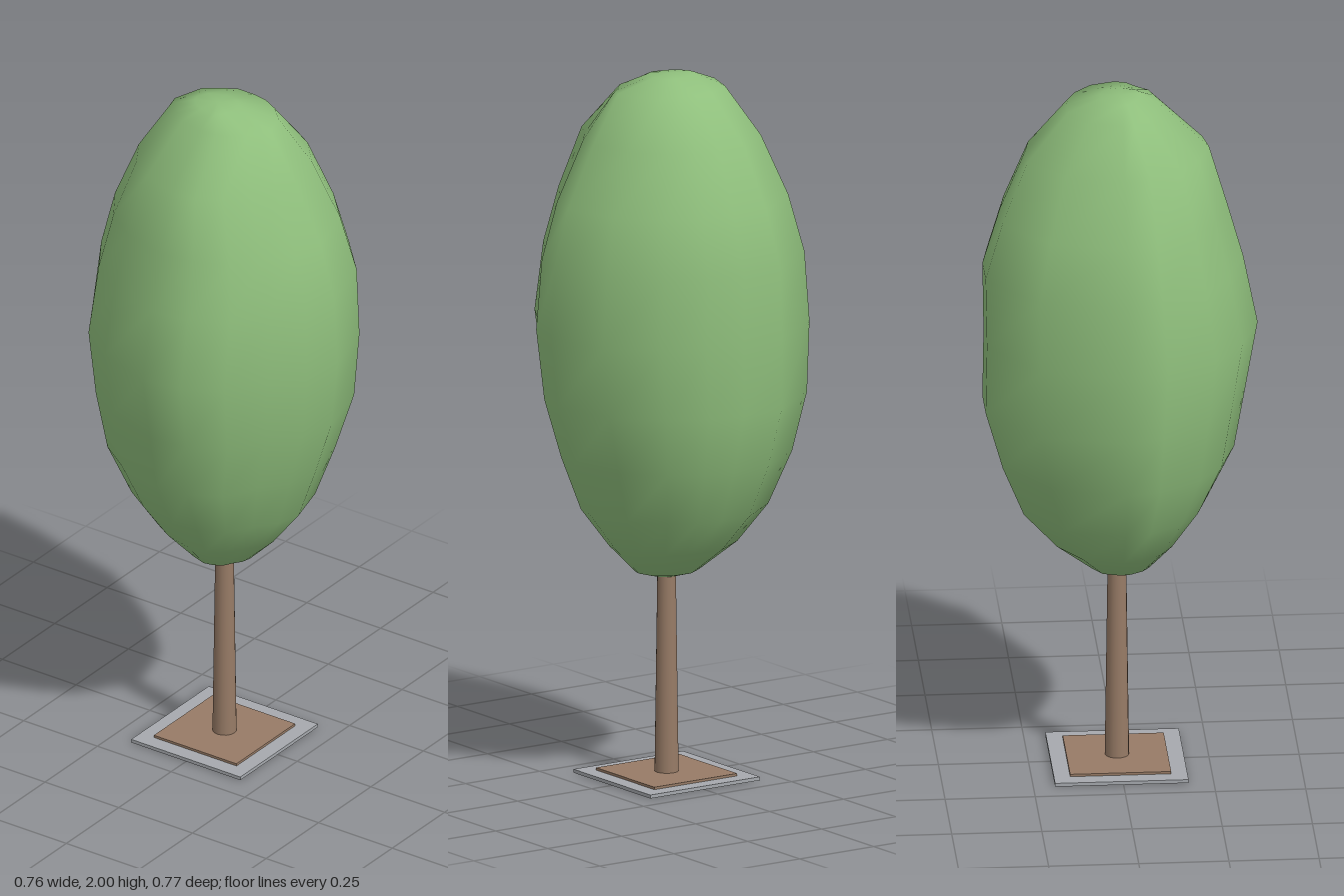
import * as THREE from 'three';

const material = (color) => new THREE.MeshStandardMaterial({ color });

// Plan outline of the crown [x, z], walked from +x through +z; scaled per ring.
const outline = [
  [0.38, 0], [0.36, 0.11], [0.3, 0.22], [0.18, 0.335], [0, 0.387], [-0.11, 0.36], [-0.2, 0.29], [-0.31, 0.225],
  [-0.365, 0.115], [-0.385, 0], [-0.33, -0.17], [-0.25, -0.28], [-0.11, -0.365], [0, -0.387], [0.24, -0.32], [0.38, -0.13],
];

// Crown rings from bottom to top: height, reach to -x, +x, +z, -z.
const rings = [
  [0.59, 0.095, 0.08, 0.09, 0.095],
  [0.67, 0.165, 0.175, 0.17, 0.2],
  [0.78, 0.245, 0.27, 0.255, 0.275],
  [0.93, 0.32, 0.33, 0.31, 0.34],
  [1.1, 0.35, 0.378, 0.365, 0.375],
  [1.3, 0.385, 0.375, 0.387, 0.387],
  [1.5, 0.345, 0.378, 0.375, 0.365],
  [1.66, 0.3, 0.33, 0.33, 0.325],
  [1.83, 0.25, 0.26, 0.245, 0.25],
  [1.965, 0.11, 0.145, 0.16, 0.165],
  [1.995, 0.06, 0.05, 0.04, 0.09],
];

function crownGeometry() {
  const n = outline.length;
  const positions = [];
  const index = [];
  for (const [y, left, right, front, back] of rings) {
    for (const [x, z] of outline) {
      positions.push(x * (x < 0 ? left / 0.385 : right / 0.38), y, z * (z < 0 ? back : front) / 0.387);
    }
  }
  const bottom = rings.length * n;
  const top = bottom + 1;
  positions.push(0, 0.565, 0, 0, 2, -0.02);
  const last = (rings.length - 1) * n;
  for (let i = 0; i < n; i++) {
    const j = (i + 1) % n;
    for (let r = 0; r < last; r += n) {
      index.push(r + i, r + n + i, r + j, r + j, r + n + i, r + n + j);
    }
    index.push(bottom, i, j, top, last + j, last + i);
  }
  const geometry = new THREE.BufferGeometry();
  geometry.setAttribute('position', new THREE.Float32BufferAttribute(positions, 3));
  geometry.setIndex(index);
  geometry.computeVertexNormals();
  return geometry;
}

export function createModel() {
  const tree = new THREE.Group();
  tree.name = 'tree';

  const add = (name, geometry, color, x, y) => {
    const mesh = new THREE.Mesh(geometry, material(color));
    mesh.name = name;
    mesh.position.set(x, y, 0);
    tree.add(mesh);
  };

  // Square planting bed: paving frame with a raised soil patch
  add('pavingFrame', new THREE.BoxGeometry(0.37, 0.01, 0.37), 0xa6a9ae, 0.005, 0.006);
  add('soil', new THREE.BoxGeometry(0.28, 0.014, 0.28), 0x977b66, 0.005, 0.011);

  // Tapering trunk, running up into the crown
  add('trunk', new THREE.CylinderGeometry(0.025, 0.034, 0.66, 16), 0x977b66, 0.005, 0.33);

  // Egg-shaped, slightly uneven crown
  add('crown', crownGeometry(), 0x8fbf7c, 0, 0);
  return tree;
}
